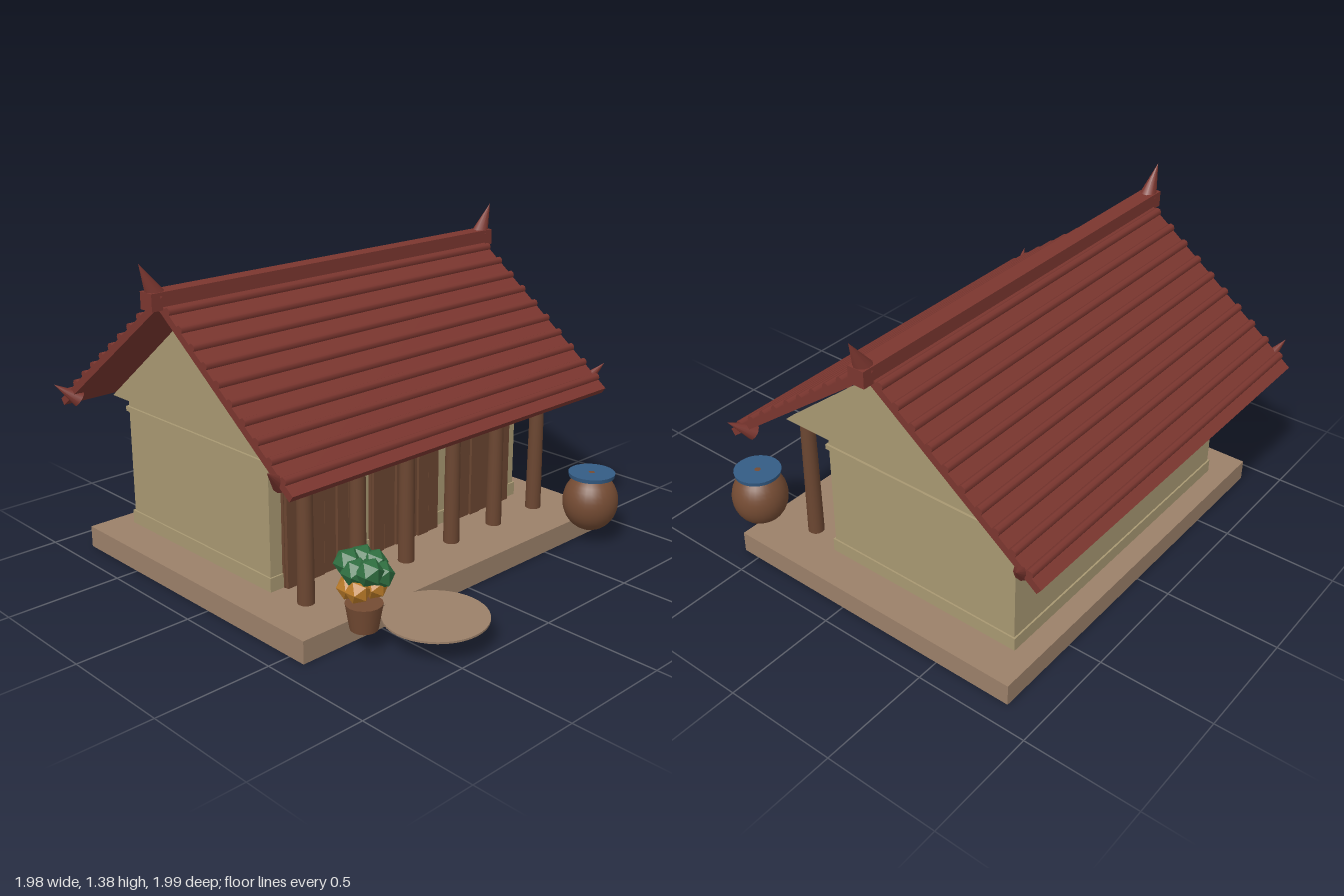
import * as THREE from 'three';

const mat = (name, color, flatShading = false) => {
  const m = new THREE.MeshStandardMaterial({ color, flatShading });
  m.name = name;
  return m;
};

export function createModel() {
  const M = {
    stone: mat('stone', 0x9b8069),
    wall: mat('plaster', 0xa89872),
    roof: mat('roof tile', 0x7b362f),
    wood: mat('wood', 0x6b4631),
    clay: mat('clay', 0x744b33),
    leaf: mat('leaf', 0x2f6e40, true),
    flower: mat('flower', 0xb97a28, true),
    blue: mat('blue lid', 0x345c85),
  };
  const root = new THREE.Group();
  const add = (name, geo, material, x = 0, y = 0, z = 0, parent = root) => {
    const m = new THREE.Mesh(geo, material);
    m.name = name;
    m.position.set(x, y, z);
    parent.add(m);
    return m;
  };
  const box = (w, h, d) => new THREE.BoxGeometry(w, h, d);

  // Platform and round doorstep
  add('platform', box(1.8, 0.095, 1.43), M.stone, 0, 0.0475, -0.135);
  add('doorstep', new THREE.CylinderGeometry(0.208, 0.208, 0.008, 40), M.stone, -0.42, 0.103, 0.79);

  // Walls with plinth and cornice band
  add('walls', box(1.46, 0.575, 0.94), M.wall, 0, 0.3825, -0.28);
  add('plinth', box(1.475, 0.06, 0.955), M.wall, 0, 0.125, -0.28);
  add('cornice', box(1.48, 0.022, 0.96), M.wall, 0, 0.63, -0.28);

  // Gable plates
  const ridgeZ = -0.22;
  const tri = new THREE.Shape([[-0.645, 0.665], [0.645, 0.665], [0, 1.18]].map(p => new THREE.Vector2(...p)));
  const gable = new THREE.ExtrudeGeometry(tri, { depth: 0.04, bevelEnabled: false });
  gable.translate(0, 0, -0.02).rotateY(Math.PI / 2);
  for (const s of [-1, 1]) add('gable', gable, M.wall, s * 0.715, 0, ridgeZ);

  // Folding plank doors
  for (const cx of [-0.47, 0, 0.47]) {
    const door = new THREE.Group();
    door.name = 'door';
    door.position.set(cx, 0.315, 0);
    root.add(door);
    add('doorBack', box(0.4, 0.44, 0.02), M.wood, 0, 0, 0.195, door);
    for (let i = 0; i < 6; i++) {
      add('doorPlank', box(0.06, 0.44, 0.02), M.wood, -0.167 + i * 0.0668, 0, i % 2 ? 0.205 : 0.211, door);
    }
  }

  // Porch columns
  for (let i = 0; i < 6; i++) {
    add('column', new THREE.CylinderGeometry(0.031, 0.035, 0.575, 16), M.wood, -0.69 + i * 0.275, 0.3825, 0.355);
  }

  // Roof: two slopes, each a slab with rows of round tiles
  const angle = Math.atan(0.75);
  const row = new THREE.CylinderGeometry(0.018, 0.018, 1.83, 8).rotateZ(Math.PI / 2);
  for (const s of [-1, 1]) {
    const slab = add('roofSlab', box(1.83, 0.032, 0.957), M.roof, 0, 0.933, ridgeZ + s * 0.383);
    slab.rotation.x = s * angle;
    for (let i = 0; i < 10; i++) {
      const off = 0.06 + i * 0.0735;
      add('tileRow', row, M.roof, 0, 1.241 - 0.75 * off, ridgeZ + s * off);
    }
  }
  add('ridge', box(1.93, 0.07, 0.075), M.roof, 0, 1.235, ridgeZ);

  // Pointed finials on ridge ends and eave corners
  const horn = (name, from, to, r) => {
    const a = new THREE.Vector3(...from), b = new THREE.Vector3(...to);
    const d = b.clone().sub(a);
    const c = add(name, new THREE.ConeGeometry(r, d.length(), 10), M.roof);
    c.position.copy(a).add(b).multiplyScalar(0.5);
    c.quaternion.setFromUnitVectors(new THREE.Vector3(0, 1, 0), d.normalize());
  };
  for (const s of [-1, 1]) {
    horn('ridgeFinial', [s * 0.92, 1.25, ridgeZ], [s * 0.99, 1.385, ridgeZ], 0.04);
    for (const f of [-1, 1]) {
      horn('eaveFinial', [s * 0.885, 0.672, ridgeZ + f * 0.675], [s * 0.98, 0.75, ridgeZ + f * 0.715], 0.035);
    }
  }

  // Flower pot with blossoms and leaves
  const plant = new THREE.Group();
  plant.name = 'pottedPlant';
  plant.position.set(-0.67, 0, 0.66);
  root.add(plant);
  add('pot', new THREE.CylinderGeometry(0.073, 0.055, 0.105, 16), M.clay, 0, 0.1475, 0, plant);
  const ball = r => new THREE.IcosahedronGeometry(r, 0);
  for (let i = 0; i < 5; i++) {
    const a = i * Math.PI * 0.4;
    add('blossom', ball(0.05), M.flower, 0.065 * Math.cos(a), 0.275, 0.04 * Math.sin(a), plant);
  }
  const leaves = [[-0.035, 0.36, -0.05], [0.03, 0.355, -0.045], [0.035, 0.32, 0.05], [-0.025, 0.35, 0.055], [-0.045, 0.34, 0], [0.05, 0.345, 0.0]];
  for (const [x, y, z] of leaves) add('leafCluster', ball(0.056), M.leaf, x, y, z, plant);

  // Water jar with lid
  const jar = add('jar', new THREE.SphereGeometry(0.123, 28, 18), M.clay, 0.747, 0.19, 0.628);
  jar.scale.y = 1.1;
  add('jarLid', new THREE.CylinderGeometry(0.103, 0.1, 0.018, 28), M.blue, 0.747, 0.315, 0.628);

  return root;
}
